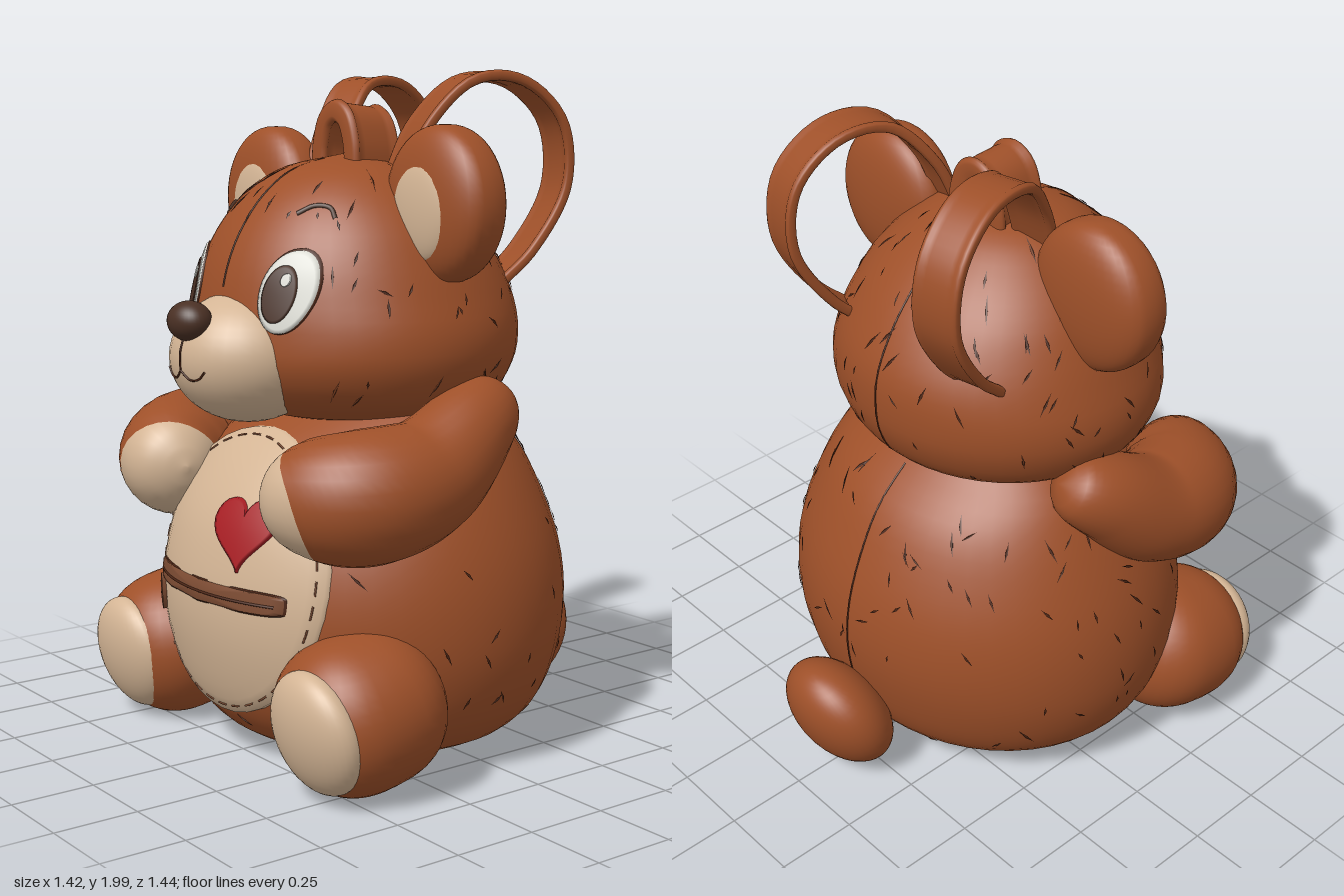
import * as THREE from 'three';
import { mergeVertices, mergeGeometries } from 'three/addons/utils/BufferGeometryUtils.js';

const V = (x, y, z) => new THREE.Vector3(x, y, z);
const mat = (name, color, side = THREE.FrontSide) => {
  const m = new THREE.MeshStandardMaterial({ color, side });
  m.name = name;
  return m;
};
const pow = (v, p) => Math.sign(v) * Math.abs(v) ** p;

// Smooth interpolation of rows [key, ...values]
function sample(rows, k) {
  let i = 0;
  while (i < rows.length - 2 && k > rows[i + 1][0]) i++;
  const a = rows[i], b = rows[i + 1], p = rows[i - 1] || a, q = rows[i + 2] || b;
  const h = b[0] - a[0], t = Math.min(1, Math.max(0, (k - a[0]) / h));
  return a.slice(1).map((va, n) => {
    const vb = b[n + 1];
    const ma = (vb - p[n + 1]) / (b[0] - p[0]) * h, mb = (q[n + 1] - va) / (q[0] - a[0]) * h;
    return (2 * t ** 3 - 3 * t * t + 1) * va + (t ** 3 - 2 * t * t + t) * ma
      + (3 * t * t - 2 * t ** 3) * vb + (t ** 3 - t * t) * mb;
  });
}

// Skin over closed rings that run counterclockwise about the sweep direction
function skin(rings) {
  const n = rings[0].length, index = [];
  for (let i = 0; i < rings.length - 1; i++) for (let j = 0; j < n; j++) {
    const a = i * n + j, b = i * n + (j + 1) % n;
    index.push(a, b, b + n, a, b + n, a + n);
  }
  const g = new THREE.BufferGeometry().setFromPoints(rings.flat());
  g.setIndex(index);
  const m = mergeVertices(g, 1e-5);
  m.computeVertexNormals();
  return m;
}
const ring = (n, f) => Array.from({ length: n }, (_, j) => f(j / n * Math.PI * 2));
const steps = (n, f) => Array.from({ length: n + 1 }, (_, i) => f(i / n));

// Rounded bulk from rows [y, rx, centreZ, rz]
const onLoft = (rows, y, t, lift = 0) => {
  const [rx, zc, rz] = sample(rows, y);
  return V((Math.max(0, rx) + lift) * Math.sin(t), y + lift * 0.4, zc + (Math.max(0, rz) + lift) * Math.cos(t));
};
const loft = rows => {
  const y0 = rows[0][0], y1 = rows[rows.length - 1][0];
  return skin(steps(36, u => {
    const y = y0 + (y1 - y0) * (1 - Math.cos(Math.PI * u)) / 2;
    return ring(48, t => onLoft(rows, y, t));
  }));
};
const frontOf = rows => (x, y) => {
  const [rx, zc, rz] = sample(rows, y);
  return zc + rz * Math.sqrt(Math.max(0, 1 - (x / rx) ** 2));
};

// Soft ellipsoid; p below 1 flattens its front and back
function blob(c, r, rotX = 0, p = 1) {
  let g = new THREE.SphereGeometry(1, 36, 24);
  g.deleteAttribute('uv');
  g.deleteAttribute('normal');
  g = mergeVertices(g, 1e-4);
  const a = g.attributes.position, v = V(0, 0, 0);
  for (let i = 0; i < a.count; i++) {
    v.fromBufferAttribute(a, i);
    v.z = pow(v.z, p);
    v.multiply(V(...r)).applyAxisAngle(V(1, 0, 0), rotX).add(V(...c));
    a.setXYZ(i, v.x, Math.max(0, v.y), v.z);
  }
  g.computeVertexNormals();
  return g;
}

// Thin patch that follows a surface z = f(x, y)
function patch(f, cx, cy, outline, lift) {
  const level = (r, h) => ring(40, t => {
    const [dx, dy] = outline(t), x = cx + dx * r, y = cy + dy * r;
    return V(x, y, f(x, y) + h);
  });
  return skin([level(1, -0.01), ...steps(10, u => level(1 - u, lift))]);
}
const oval = (rx, ry, tilt = 0) => t => {
  const x = rx * Math.cos(t), y = ry * Math.sin(t);
  return [x * Math.cos(tilt) - y * Math.sin(tilt), x * Math.sin(tilt) + y * Math.cos(tilt)];
};
const line = (pts, r, n = 20) =>
  new THREE.TubeGeometry(new THREE.CatmullRomCurve3(pts), n, r, 6);
const drawn = (f, pts, r, lift = 0.002) => line(pts.map(([x, y]) => V(x, y, f(x, y) + lift)), r);

// Flat band with thicker rims along a path
function band(pts, halfW, halfT, across) {
  const c = new THREE.CatmullRomCurve3(pts.map(p => V(...p)));
  return skin(steps(40, u => {
    const o = c.getPointAt(u), T = c.getTangentAt(u);
    const W = across.clone().addScaledVector(T, -across.dot(T)).normalize(), N = T.clone().cross(W);
    return ring(28, t => {
      const w = pow(Math.cos(t), 0.5), n = pow(Math.sin(t), 0.5) * (Math.abs(w) > 0.72 ? 1.5 : 1);
      return o.clone().addScaledVector(W, w * halfW).addScaledVector(N, n * halfT);
    });
  }));
}

// Limb with a varying radius; from(t) and to(t) give its ends around the path
function limb(pts, radii, from, to) {
  const c = new THREE.CatmullRomCurve3(pts.map(p => V(...p)));
  return skin(steps(36, k => ring(28, t => {
    const u = from(t) + (to(t) - from(t)) * k, T = c.getTangentAt(u), r = Math.max(0, sample(radii, u)[0]);
    const N = V(0, 1, 0).addScaledVector(T, -T.y).normalize(), B = T.clone().cross(N);
    return c.getPointAt(u).addScaledVector(N, r * Math.cos(t)).addScaledVector(B, r * Math.sin(t));
  })));
}

function mirrored(g) {
  const m = g.clone().scale(-1, 1, 1), a = m.index.array;
  for (let i = 0; i < a.length; i += 3) [a[i], a[i + 1]] = [a[i + 1], a[i]];
  return m;
}

// Short fur strokes scattered over a bulk
function strokes(rows, count, y0, y1, skip, seed) {
  const rnd = () => (seed = (seed * 16807) % 2147483647) / 2147483647;
  const pts = [], index = [];
  for (let i = 0; i < count; i++) {
    const y = y0 + (y1 - y0) * rnd(), t = rnd() * Math.PI * 2, dy = 0.01 + 0.025 * rnd(), dt = (rnd() - 0.5) * 0.1;
    if (skip(y, t)) continue;
    const a = onLoft(rows, y - dy, t - dt, 0.002), b = onLoft(rows, y + dy, t + dt, 0.002);
    const m = onLoft(rows, y, t, 0.004), s = b.clone().sub(a).cross(V(Math.sin(t), 0, Math.cos(t))).setLength(0.004);
    const k = pts.length;
    pts.push(a, m.clone().add(s), b, m.clone().sub(s));
    index.push(k, k + 1, k + 2, k, k + 2, k + 3);
  }
  const g = new THREE.BufferGeometry().setFromPoints(pts);
  g.setIndex(index);
  g.computeVertexNormals();
  return g;
}

const BODY = [[0.005, 0, 0.05, 0], [0.012, 0.28, 0.05, 0.25], [0.025, 0.4, 0.05, 0.36], [0.06, 0.49, 0.05, 0.435],
  [0.15, 0.58, 0.05, 0.51], [0.3, 0.64, 0.05, 0.56], [0.45, 0.652, 0.05, 0.58], [0.6, 0.632, 0.05, 0.565],
  [0.75, 0.58, 0.05, 0.515], [0.9, 0.5, 0.035, 0.42], [1, 0.42, 0.02, 0.3], [1.08, 0.28, 0, 0.18], [1.12, 0, 0, 0]];
const HEAD = [[0.975, 0, 0.08, 0], [0.985, 0.24, 0.08, 0.22], [1.0, 0.32, 0.08, 0.3], [1.05, 0.44, 0.09, 0.4],
  [1.15, 0.51, 0.095, 0.465], [1.25, 0.52, 0.09, 0.475], [1.35, 0.49, 0.09, 0.465], [1.45, 0.45, 0.1, 0.43],
  [1.55, 0.395, 0.11, 0.37], [1.65, 0.3, 0.12, 0.275], [1.72, 0.18, 0.12, 0.16], [1.755, 0, 0.12, 0]];
const ARM = [[0.45, 1.07, -0.09], [0.5, 0.99, 0.05], [0.51, 0.87, 0.22], [0.475, 0.825, 0.4], [0.36, 0.82, 0.5], [0.23, 0.82, 0.54]];
const ARM_R = [[0, 0], [0.02, 0.06], [0.06, 0.095], [0.15, 0.122], [0.35, 0.155], [0.55, 0.183], [0.7, 0.188],
  [0.84, 0.165], [0.93, 0.12], [0.98, 0.06], [1, 0]];

export function createModel() {
  const model = new THREE.Group();
  const fur = mat('brown fur', 0x9e5029), cream = mat('cream plush', 0xd4b595), red = mat('heart red', 0xa81c22);
  const nose = mat('dark brown', 0x4a3024), white = mat('eye white', 0xdcdcd4), zip = mat('zipper brown', 0x7d4c33);
  const ink = mat('stitch dark', 0x4a2414, THREE.DoubleSide);
  const add = (name, g, m) => {
    const mesh = new THREE.Mesh(g, m);
    mesh.name = name;
    model.add(mesh);
  };
  const both = (name, g, m) => {
    add(name + 'Left', g, m);
    add(name + 'Right', mirrored(g), m);
  };
  const belly = frontOf(BODY), face = frontOf(HEAD);

  // Main bulks
  add('body', loft(BODY), fur);
  add('head', loft(HEAD), fur);
  add('tail', blob([0, 0.195, -0.575], [0.195, 0.2, 0.128], -0.45), fur);
  add('bodyStrokes', strokes(BODY, 130, 0.1, 0.95, () => false, 71), ink);
  add('headStrokes', strokes(HEAD, 150, 1.05, 1.7, (y, t) => y < 1.52 && Math.cos(t) > 0.72, 23), ink);

  // Centre seams
  add('headSeamFront', line(steps(10, u => onLoft(HEAD, 1.38 + 0.36 * u, 0)), 0.003), ink);
  add('headSeamBack', line(steps(12, u => onLoft(HEAD, 1.02 + 0.72 * u, Math.PI)), 0.003), ink);
  add('bodySeamBack', line(steps(14, u => onLoft(BODY, 0.06 + 0.94 * u, Math.PI)), 0.003), ink);

  // Limbs; the paw pad is cut on a slant, facing forward and inward
  const cuff = t => 0.865 + 0.055 * Math.cos(t) + 0.045 * Math.sin(t);
  both('arm', limb(ARM, ARM_R, () => 0, cuff), fur);
  both('paw', limb(ARM, ARM_R, cuff, () => 1), cream);
  both('foot', blob([0.475, 0.225, 0.42], [0.235, 0.225, 0.235], 0.2, 0.75), fur);
  both('sole', blob([0.495, 0.2, 0.58], [0.178, 0.18, 0.088], 0.22), cream);

  // Ears
  both('ear', blob([0.42, 1.615, 0.08], [0.213, 0.222, 0.105], 0, 0.65), fur);
  both('innerEar', blob([0.415, 1.6, 0.152], [0.128, 0.147, 0.042]), cream);

  // Muzzle, nose and mouth
  const snout = (x, y) => 0.465 + 0.23 * Math.sqrt(Math.max(0, 1 - (x / 0.23) ** 2 - ((y - 1.177) / 0.192) ** 2));
  add('muzzle', blob([0, 1.177, 0.465], [0.23, 0.192, 0.23]), cream);
  add('nose', blob([0, 1.288, 0.662], [0.077, 0.058, 0.06]), nose);
  add('mouthLine', drawn(snout, [[0, 1.24], [0, 1.2], [0, 1.15]], 0.003), ink);
  both('smile', drawn(snout, [[0, 1.15], [0.035, 1.126], [0.07, 1.13], [0.095, 1.152]], 0.003), ink);

  // Eyes and brows
  both('eyeRim', patch(face, 0.237, 1.378, oval(0.079, 0.119, -0.1), 0.005), ink);
  both('eye', patch(face, 0.237, 1.376, oval(0.076, 0.115, -0.1), 0.01), white);
  both('pupil', patch(face, 0.222, 1.37, oval(0.047, 0.08, -0.05), 0.014), nose);
  for (const s of [1, -1]) add('eyeGlint', patch(face, s * 0.222 + 0.016, 1.41, oval(0.013, 0.018), 0.018), white);
  both('brow', drawn(face, [[0.175, 1.588], [0.205, 1.61], [0.245, 1.605], [0.275, 1.575]], 0.007), nose);

  // Belly panel with dashed stitching
  add('bellyPanel', patch(belly, 0, 0.55, oval(0.42, 0.41), 0.016), cream);
  const dashes = [];
  for (let k = 0; k < 36; k++) {
    dashes.push(drawn(belly, steps(2, u => {
      const t = (k + u * 0.6) / 36 * Math.PI * 2;
      return [0.398 * Math.cos(t), 0.55 + 0.39 * Math.sin(t)];
    }), 0.003, 0.016));
  }
  add('bellyStitches', mergeGeometries(dashes), zip);

  // Heart
  const heart = t => {
    const x = -0.0073 * 16 * Math.sin(t) ** 3;
    const y = 0.007 * (13 * Math.cos(t) - 5 * Math.cos(2 * t) - 2 * Math.cos(3 * t) - Math.cos(4 * t));
    return [x - 0.12 * y, y + 0.08 * x];
  };
  add('heart', patch(belly, 0.148, 0.705, heart, 0.026), red);

  // Zipper
  const bar = (w, h) => t => [w * pow(Math.cos(t), 0.3), h * pow(Math.sin(t), 0.3)];
  add('zipperEdge', patch(belly, 0, 0.511, bar(0.33, 0.034), 0.02), ink);
  add('zipperTape', patch(belly, 0, 0.511, bar(0.325, 0.03), 0.024), zip);
  add('zipperTeeth', drawn(belly, steps(12, u => [-0.3 + 0.6 * u, 0.508]), 0.004, 0.024), ink);
  add('zipperPull', patch(belly, -0.305, 0.435, oval(0.026, 0.055, 0.1), 0.03), zip);

  // Shoulder straps and carrying loop
  both('strap', band([[0.185, 1.68, 0.07], [0.21, 1.84, 0.0], [0.265, 1.965, -0.12], [0.298, 1.965, -0.28],
    [0.325, 1.85, -0.41], [0.325, 1.66, -0.43], [0.3, 1.47, -0.32], [0.28, 1.38, -0.22]], 0.074, 0.012, V(1, 0, 0.2)), fur);
  add('carryLoop', band([[-0.082, 1.69, 0.08], [-0.076, 1.78, 0.08], [-0.046, 1.85, 0.08], [0, 1.872, 0.08],
    [0.046, 1.85, 0.08], [0.076, 1.78, 0.08], [0.082, 1.69, 0.08]], 0.088, 0.026, V(0, 0.1, 1)), fur);
  return model;
}
